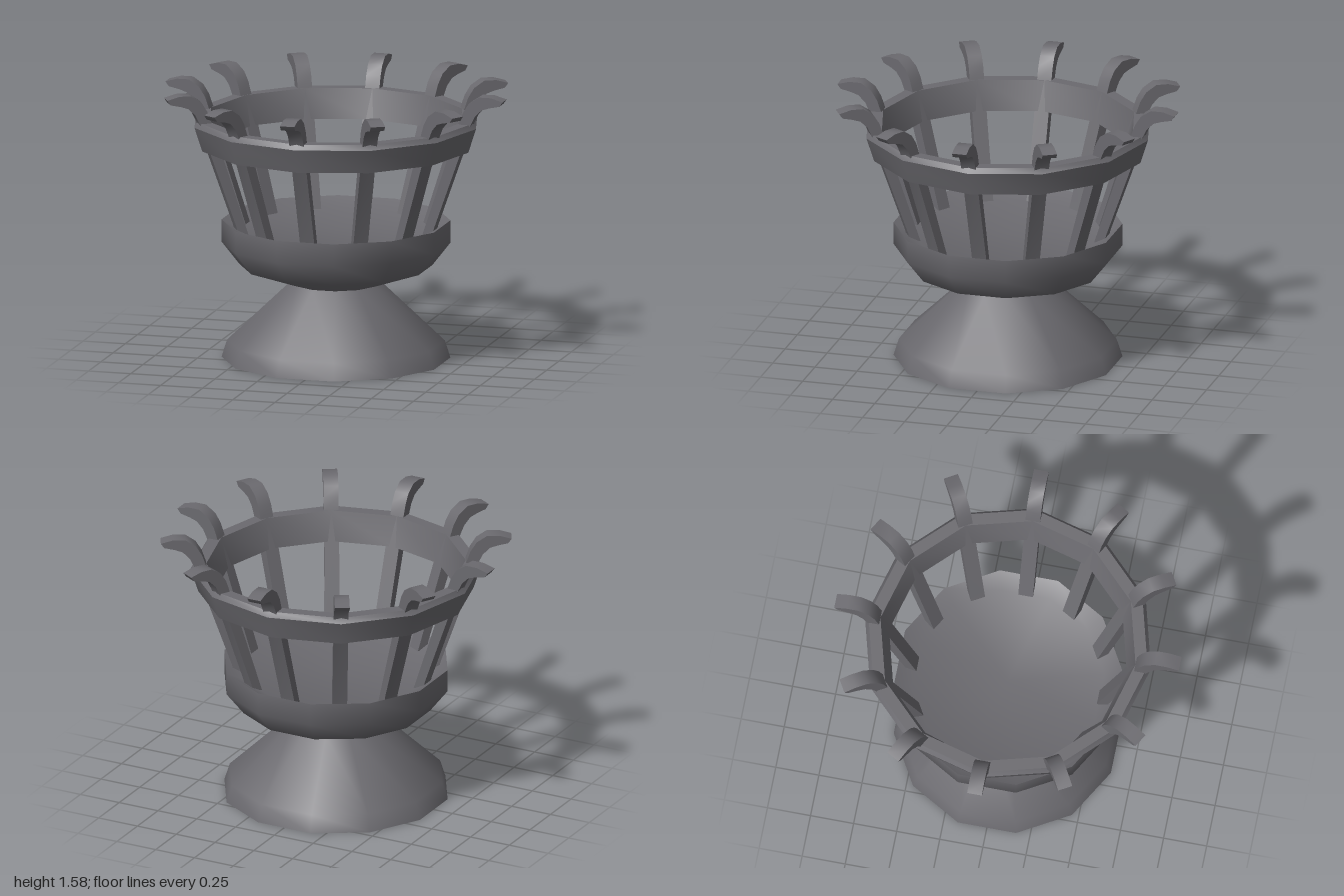
import * as THREE from 'three';
import { toCreasedNormals } from 'three/addons/utils/BufferGeometryUtils.js';

const SIDES = 12;
const STEP = (Math.PI * 2) / SIDES;

export function createModel() {
  const model = new THREE.Group();
  model.name = 'fireBasket';
  const iron = new THREE.MeshStandardMaterial({ color: 0x6b6a6f });
  iron.name = 'darkIron';

  const vectors = (points) => points.map(([x, y]) => new THREE.Vector2(x, y));

  // Twelve-sided turned part; profile runs up the outside, then inwards
  function turned(name, profile, phase) {
    const geometry = new THREE.LatheGeometry(vectors(profile), SIDES, phase);
    const mesh = new THREE.Mesh(toCreasedNormals(geometry, 0.85), iron);
    mesh.name = name;
    model.add(mesh);
  }

  // Flared foot and shallow bowl, with flat sides facing the axes
  turned('foot', [[0, 0], [0.652, 0], [0.62, 0.1], [0.26, 0.44]], STEP / 2);
  turned('bowl', [
    [0.26, 0.44], [0.55, 0.54], [0.652, 0.67], [0.652, 0.8], [0.55, 0.75], [0, 0.75],
  ], STEP / 2);

  // Hoop, with its corners on the spokes
  turned('hoop', [
    [0.69, 1.24], [0.785, 1.24], [0.83, 1.38], [0.81, 1.41],
    [0.74, 1.41], [0.69, 1.24],
  ], 0);

  // Slanted spoke with an outward-curling tip, drawn from the side
  const width = 0.085;
  const outline = new THREE.Shape(vectors([
    [0.58, 0.74], [0.595, 0.8], [0.81, 1.41], [0.835, 1.46], [0.875, 1.5],
    [0.92, 1.515], [0.98, 1.528], [1.0, 1.555], [0.93, 1.575], [0.86, 1.575],
    [0.8, 1.535], [0.765, 1.48], [0.74, 1.41], [0.54, 0.8], [0.52, 0.74],
  ]));
  const extruded = new THREE.ExtrudeGeometry(outline, { depth: width, bevelEnabled: false });
  extruded.translate(0, 0, -width / 2);
  const spokeGeometry = toCreasedNormals(extruded, 0.85);
  for (let i = 0; i < SIDES; i++) {
    const spoke = new THREE.Mesh(spokeGeometry, iron);
    spoke.name = 'spoke' + (i + 1);
    spoke.rotation.y = i * STEP;
    model.add(spoke);
  }
  return model;
}
